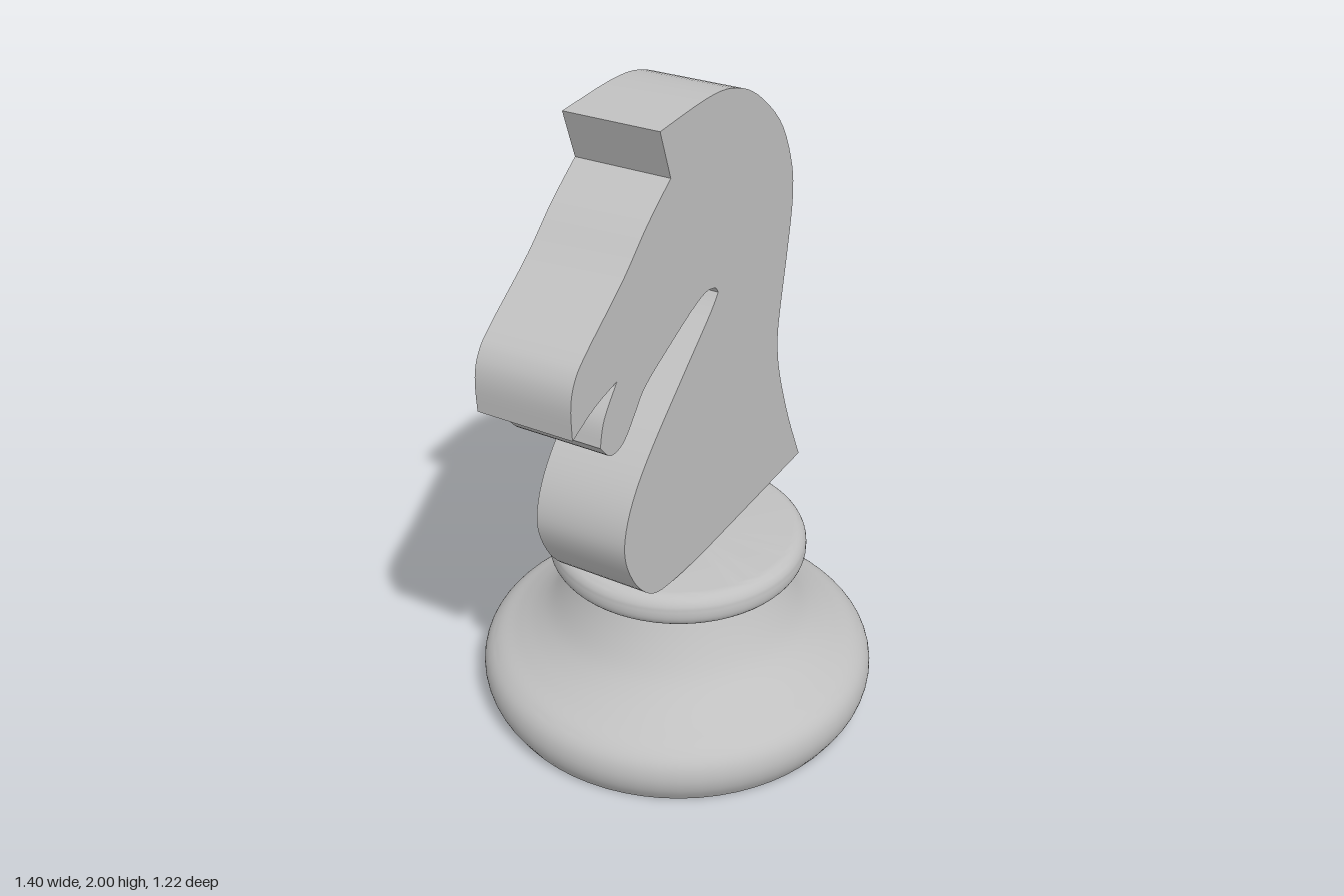
import * as THREE from 'three';
import { toCreasedNormals } from 'three/addons/utils/BufferGeometryUtils.js';

const TURN = 0.151;      // the head is turned slightly about the vertical axis
const THICK = 0.283;
const AXIS_X = 0.09;     // axis of the round base

const stone = new THREE.MeshStandardMaterial({ color: 0xc0c0c0 });
stone.name = 'light grey';

// Sheared outline coordinates to the plate's own plane
const local = ([x, y]) => new THREE.Vector2(
  (x - AXIS_X - Math.sin(TURN) * THICK / 2) / Math.cos(TURN), y);

function lathe(name, curve) {
  const geo = new THREE.LatheGeometry(curve, 64);
  const mesh = new THREE.Mesh(toCreasedNormals(geo, 0.6), stone);
  mesh.name = name;
  return mesh;
}

function horseHead() {
  // Each run is a smooth curve; runs meet at sharp corners
  const runs = [
    // crest and back of the neck
    [[0.01, 2.0], [0.15, 1.98], [0.28, 1.92], [0.425, 1.795], [0.503, 1.65], [0.521, 1.53],
      [0.5, 1.37], [0.468, 1.19], [0.46, 1.09], [0.482, 0.97], [0.555, 0.78], [0.65, 0.585]],
    // underside
    [[0.01, 0.585]],
    // chest and front of the neck
    [[-0.15, 0.595], [-0.267, 0.62], [-0.355, 0.7], [-0.413, 0.81], [-0.418, 0.9],
      [-0.375, 1.0], [-0.283, 1.105], [-0.12, 1.245], [0.03, 1.37], [0.077, 1.42]],
    // throat and jaw
    [[0.06, 1.44], [0.01, 1.45], [-0.06, 1.432], [-0.17, 1.385], [-0.305, 1.32],
      [-0.355, 1.27], [-0.4, 1.22], [-0.437, 1.198], [-0.485, 1.2], [-0.53, 1.247]],
    // mouth
    [[-0.51, 1.32], [-0.447, 1.4]],
    [[-0.55, 1.378], [-0.653, 1.335]],
    // nose and forehead
    [[-0.656, 1.43], [-0.635, 1.495], [-0.58, 1.548], [-0.415, 1.665], [-0.3, 1.765], [-0.183, 1.85]],
    // ear
    [[-0.235, 1.99]],
  ];
  const shape = new THREE.Shape();
  const start = local([-0.235, 1.99]);
  shape.moveTo(start.x, start.y);
  for (const run of runs) {
    const pts = run.map(local);
    if (pts.length === 1) shape.lineTo(pts[0].x, pts[0].y);
    else shape.splineThru(pts);
  }
  const geo = new THREE.ExtrudeGeometry(shape, { depth: THICK, bevelEnabled: false, curveSegments: 4 });
  geo.translate(0, 0, -THICK / 2);
  const mesh = new THREE.Mesh(toCreasedNormals(geo, 0.5), stone);
  mesh.name = 'horseHead';
  mesh.rotation.y = TURN;
  return mesh;
}

export function createModel() {
  const model = new THREE.Group();
  model.name = 'chessKnight';

  // Flared foot
  const flank = new THREE.SplineCurve([
    [0.575, 0], [0.603, 0.05], [0.612, 0.1], [0.6, 0.148], [0.565, 0.185], [0.505, 0.217],
    [0.443, 0.258], [0.39, 0.31], [0.34, 0.39], [0.295, 0.485],
  ].map(p => new THREE.Vector2(...p))).getPoints(40);
  model.add(lathe('foot', [new THREE.Vector2(0, 0), ...flank]));

  // Rounded collar
  const collar = [new THREE.Vector2(0, 0.48)];
  const R = 0.045;
  for (const [y, from] of [[0.48 + R, -Math.PI / 2], [0.585 - R, 0]]) {
    for (let i = 0; i <= 8; i++) {
      const a = from + (i / 8) * Math.PI / 2;
      collar.push(new THREE.Vector2(0.393 - R + R * Math.cos(a), y + R * Math.sin(a)));
    }
  }
  collar.push(new THREE.Vector2(0, 0.585));
  model.add(lathe('collar', collar));

  model.add(horseHead());
  for (const part of model.children) part.position.x = AXIS_X;
  return model;
}
